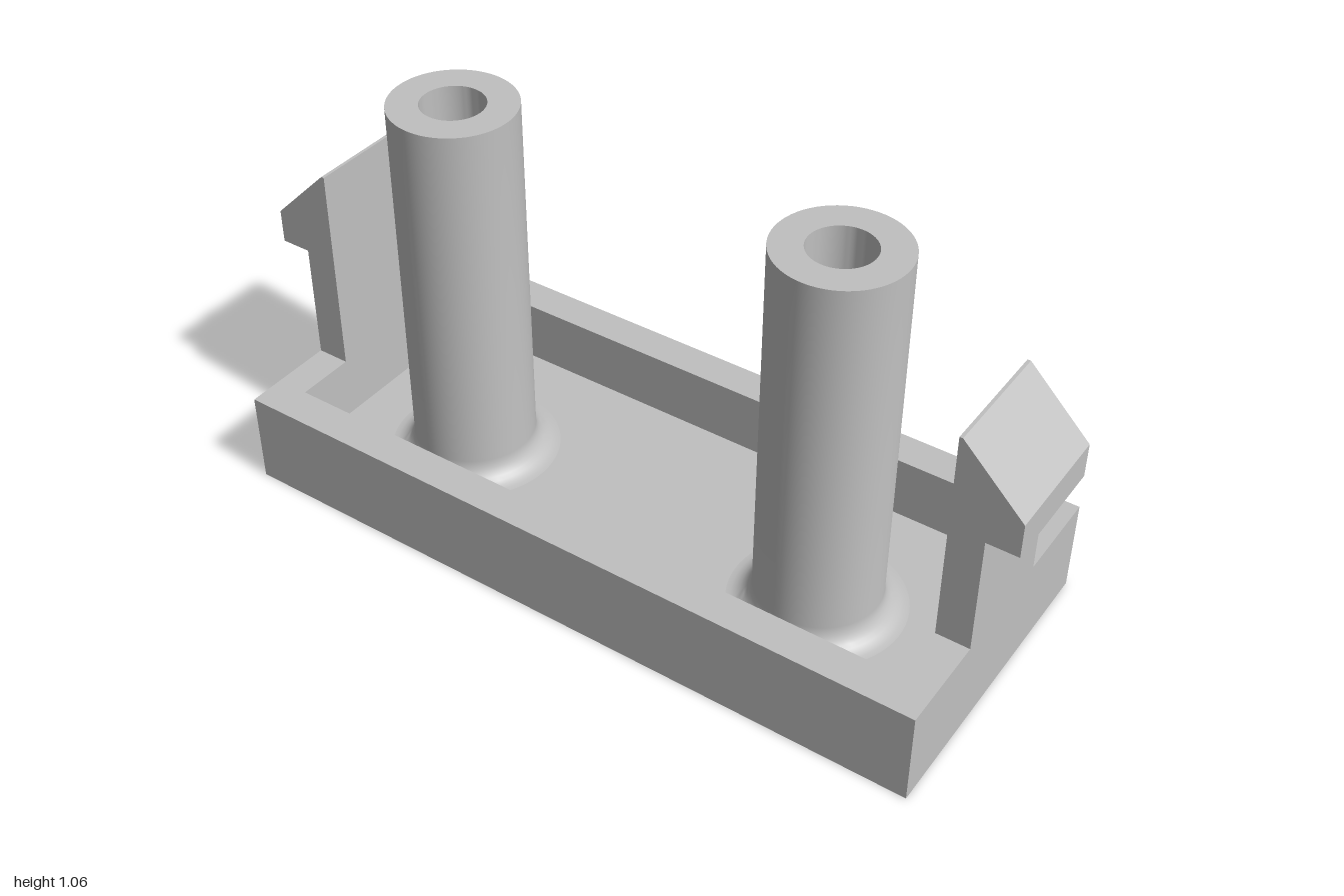
import * as THREE from 'three';
import { toCreasedNormals } from 'three/addons/utils/BufferGeometryUtils.js';

const FLOOR = 0.08, RIM = 0.243, TOP = 1.06;
const HALF_X = 0.922, HALF_Z = 0.395, IN_X = 0.838, IN_Z = 0.303;

function rectangle(target, hx, hz) {
  target.moveTo(-hx, -hz);
  target.lineTo(hx, -hz);
  target.lineTo(hx, hz);
  target.lineTo(-hx, hz);
  target.closePath();
  return target;
}

export function createModel() {
  const group = new THREE.Group();
  const grey = new THREE.MeshStandardMaterial({ color: 0xc0c0c0 });
  grey.name = 'grey plastic';

  const add = (name, geometry) => {
    const mesh = new THREE.Mesh(geometry, grey);
    mesh.name = name;
    group.add(mesh);
    return mesh;
  };

  // Open tray: rim wall around a thin floor
  const ring = rectangle(new THREE.Shape(), HALF_X, HALF_Z);
  ring.holes.push(rectangle(new THREE.Path(), IN_X, IN_Z));
  const wall = new THREE.ExtrudeGeometry(ring, { depth: RIM, bevelEnabled: false });
  wall.rotateX(-Math.PI / 2);
  add('trayWall', wall);
  add('trayFloor', new THREE.BoxGeometry(IN_X * 2, FLOOR, IN_Z * 2)).position.y = FLOOR / 2;

  // Hollow post with a rounded fillet where it meets the floor
  const radius = 0.152, bore = 0.077, fillet = 0.06;
  const profile = [];
  for (let i = 0; i <= 8; i++) {
    const a = (i / 8) * Math.PI / 2;
    profile.push(new THREE.Vector2(
      radius + fillet * (1 - Math.sin(a)),
      FLOOR + fillet * (1 - Math.cos(a))));
  }
  profile.push(
    new THREE.Vector2(radius, TOP),
    new THREE.Vector2(bore, TOP),
    new THREE.Vector2(bore, FLOOR + 0.001),
    new THREE.Vector2(0, FLOOR + 0.001));
  const post = toCreasedNormals(new THREE.LatheGeometry(profile, 64), 0.6);

  // Snap clip: upright arm with an outward hook and sloped top
  const hook = new THREE.Shape([
    [IN_X, RIM], [HALF_X, RIM], [HALF_X, 0.55], [1, 0.55],
    [1, 0.637], [0.846, 0.79], [IN_X, 0.79],
  ].map(([x, y]) => new THREE.Vector2(x, y)));
  const clip = new THREE.ExtrudeGeometry(hook, { depth: 0.304, bevelEnabled: false });
  clip.translate(0, 0, -0.152);

  for (const side of [1, -1]) {
    const label = side > 0 ? 'left' : 'right';
    add(label + 'Post', post).position.set(side * 0.5, 0, 0.06);
    add(label + 'Clip', clip).rotation.y = side > 0 ? 0 : Math.PI;
  }
  return group;
}
